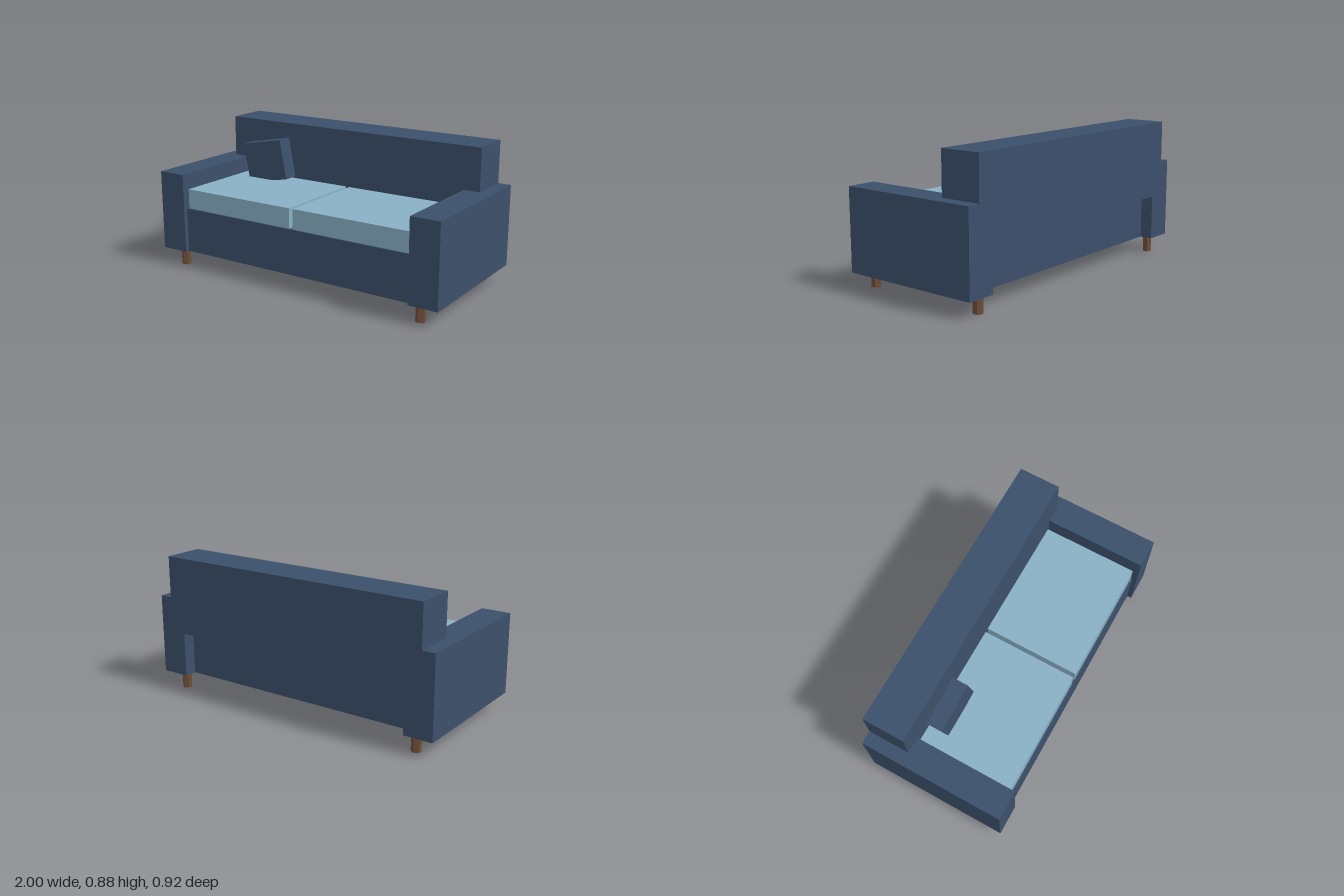
import * as THREE from 'three';

export function createModel() {
  const sofa = new THREE.Group();
  sofa.name = 'sofa';

  const material = (name, color) => {
    const m = new THREE.MeshStandardMaterial({ color });
    m.name = name;
    return m;
  };
  const navy = material('navy fabric', 0x3b4f6a);
  const paleBlue = material('pale blue fabric', 0x8ab0c4);
  const wood = material('brown wood', 0x6e4d38);

  // Box given by its limits on each axis
  function block(name, mat, [x0, x1], [y0, y1], [z0, z1]) {
    const mesh = new THREE.Mesh(new THREE.BoxGeometry(x1 - x0, y1 - y0, z1 - z0), mat);
    mesh.position.set((x0 + x1) / 2, (y0 + y1) / 2, (z0 + z1) / 2);
    mesh.name = name;
    sofa.add(mesh);
    return mesh;
  }

  // Body: the base is set back under the backrest
  block('base', navy, [-0.815, 0.815], [0.103, 0.388], [-0.378, 0.43]);
  block('backrestLower', navy, [-0.815, 0.815], [0.388, 0.613], [-0.459, -0.194]);
  block('backrestUpper', navy, [-0.918, 0.918], [0.613, 0.88], [-0.459, -0.194]);

  // Arms, seat cushions and legs, mirrored left and right
  const legGeometry = new THREE.CylinderGeometry(0.03, 0.03, 0.103, 6).toNonIndexed();
  legGeometry.computeVertexNormals();
  for (const [side, s] of [['left', 1], ['right', -1]]) {
    const span = (a, b) => (s > 0 ? [a, b] : [-b, -a]);
    block(side + 'Arm', navy, span(0.815, 1), [0.103, 0.613], [-0.459, 0.459]);
    block(side + 'SeatCushion', paleBlue, span(0.013, 0.804), [0.388, 0.514], [-0.194, 0.421]);
    for (const [end, z] of [['Front', 0.4], ['Back', -0.398]]) {
      const leg = new THREE.Mesh(legGeometry, wood);
      leg.position.set(s * 0.867, 0.0515, z);
      leg.name = side + end + 'Leg';
      sofa.add(leg);
    }
  }

  // Loose pillow, tilted on the seat
  const pillow = block('pillow', navy, [-0.717, -0.412], [0.504, 0.764], [-0.162, -0.061]);
  pillow.rotation.z = 0.19;

  return sofa;
}
